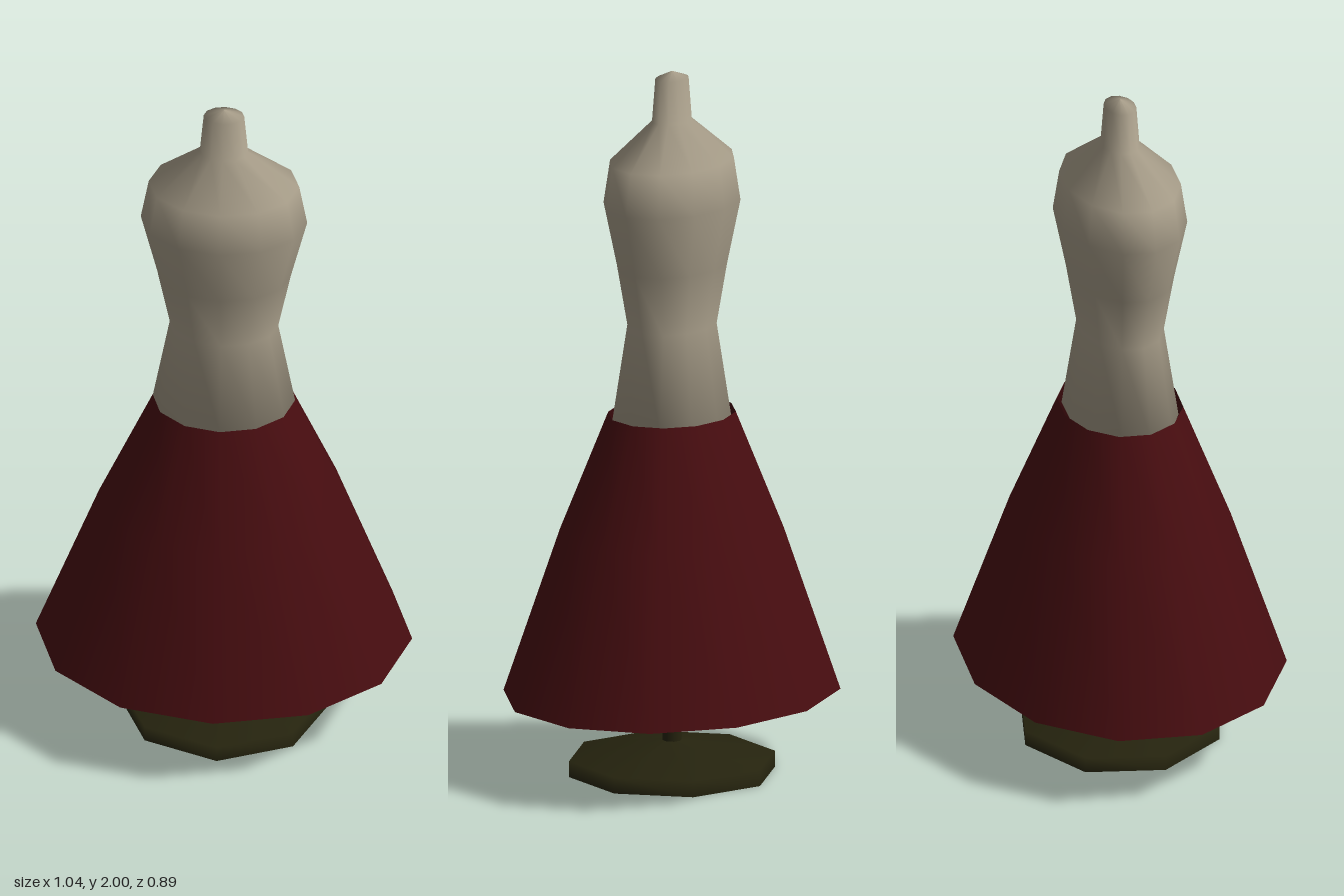
import * as THREE from 'three';

const material = (name, color, side = THREE.FrontSide) => {
  const m = new THREE.MeshStandardMaterial({ color, side });
  m.name = name;
  return m;
};

// Smooth turned shape, flattened front to back by depth
function turned(name, profile, sides, depth, mat) {
  const points = profile.map(([r, y]) => new THREE.Vector2(r, y));
  const geometry = new THREE.LatheGeometry(points, sides);
  geometry.scale(1, 1, depth);
  const mesh = new THREE.Mesh(geometry, mat);
  mesh.name = name;
  return mesh;
}

export function createModel() {
  const linen = material('linen', 0xa69c88);
  const redCloth = material('redCloth', 0x470d10, THREE.DoubleSide);
  const darkWood = material('darkWood', 0x25230e, THREE.DoubleSide);

  const group = new THREE.Group();
  group.name = 'dressForm';

  // Torso from the closed hip up to the neck cap
  group.add(turned('torso', [
    [0, 0.97], [0.2, 1.01], [0.15, 1.28], [0.185, 1.45], [0.23, 1.63],
    [0.208, 1.75], [0.067, 1.86], [0.056, 1.98], [0, 2],
  ], 12, 0.755, linen));

  // Open flared skirt
  group.add(turned('skirt', [
    [0.52, 0.24], [0.345, 0.7], [0.197, 1.03],
  ], 12, 0.855, redCloth));

  // Hollow eight-sided foot
  group.add(turned('standBase', [
    [0.29, 0.005], [0.29, 0.05], [0.03, 0.097], [0, 0.098],
  ], 8, 1, darkWood));

  // Pole up into the torso
  const pole = new THREE.Mesh(new THREE.CylinderGeometry(0.027, 0.027, 0.97, 8), darkWood);
  pole.name = 'standPole';
  pole.position.y = 0.505;
  group.add(pole);

  return group;
}
